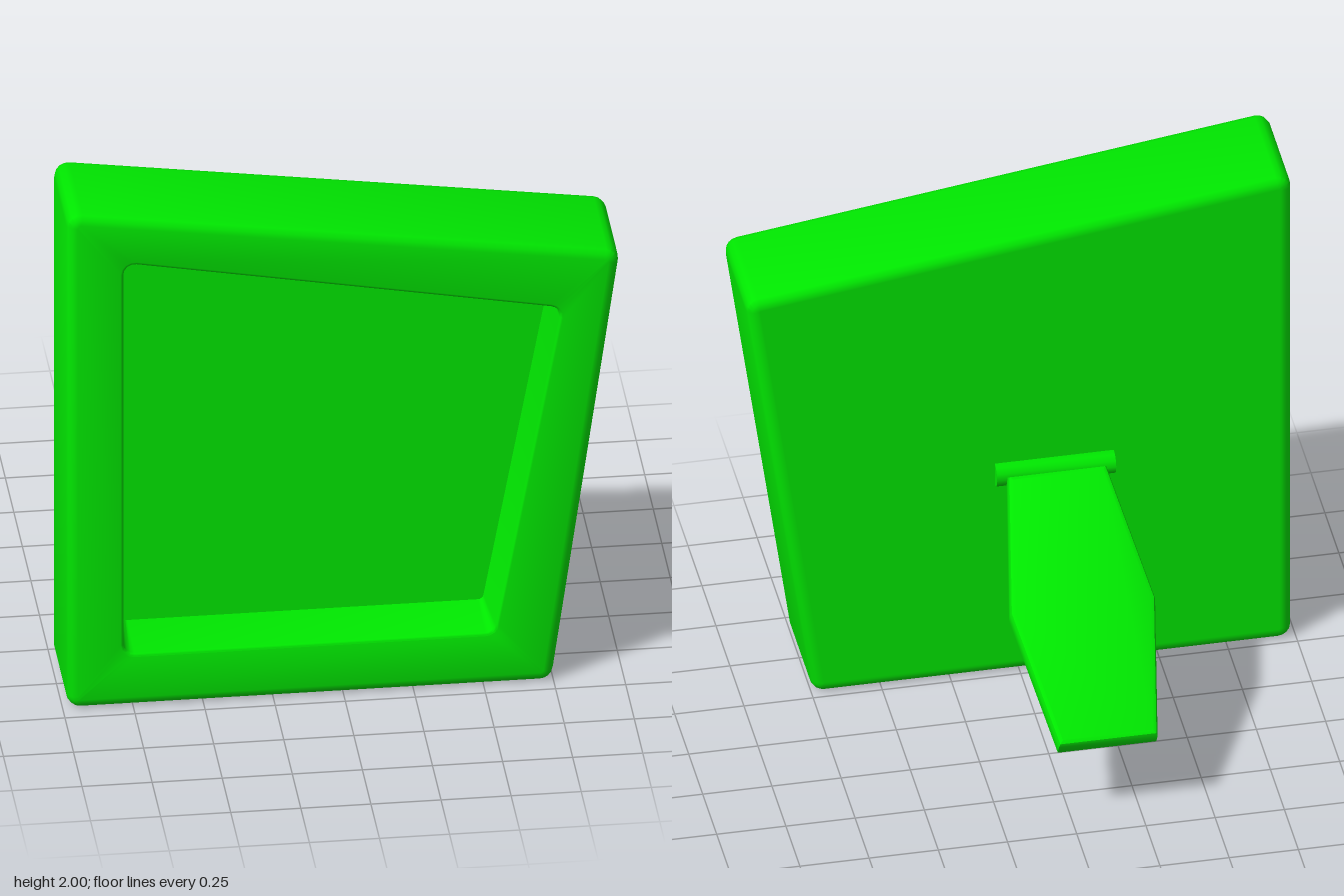
import * as THREE from 'three';
import { toCreasedNormals } from 'three/addons/utils/BufferGeometryUtils.js';

const green = new THREE.MeshStandardMaterial({ color: 0x00e800 });

// Corners run counter-clockwise as seen from the front
const OUTER = [[-0.985, 0], [0.745, 0], [0.99, 1.728], [-0.985, 2.007]];
const INNER = [[-0.795, 0.2], [0.547, 0.2], [0.792, 1.522], [-0.795, 1.812]];
const ROUND = 0.05;
const ARC = 4;

// Rounded outline of a convex polygon, shrunk by `inset`, at depth z
function outline(corners, inset, z) {
  const points = [];
  const n = corners.length;
  for (let i = 0; i < n; i++) {
    const p = new THREE.Vector2(...corners[i]);
    const before = p.clone().sub(new THREE.Vector2(...corners[(i + n - 1) % n])).normalize();
    const after = new THREE.Vector2(...corners[(i + 1) % n]).sub(p).normalize();
    const turn = Math.acos(before.dot(after));
    const start = Math.atan2(-before.x, before.y);
    // Centre of the corner arc, on the bisector of the corner
    const inward = after.clone().sub(before).normalize();
    const centre = p.addScaledVector(inward, ROUND / Math.cos(turn / 2));
    for (let k = 0; k <= ARC; k++) {
      const a = start + turn * k / ARC;
      points.push([
        centre.x + (ROUND - inset) * Math.cos(a),
        centre.y + (ROUND - inset) * Math.sin(a),
        z,
      ]);
    }
  }
  return points;
}

// Skin through rings, closed by a fan at both ends
function loft(rings) {
  const n = rings[0].length;
  const positions = rings.flat(2);
  const index = [];
  for (let r = 0; r < rings.length - 1; r++) {
    for (let j = 0; j < n; j++) {
      const a = r * n + j, b = r * n + (j + 1) % n;
      index.push(a, b, b + n, a, b + n, a + n);
    }
  }
  const last = (rings.length - 1) * n;
  for (let j = 1; j < n - 1; j++) {
    index.push(0, j + 1, j);
    index.push(last, last + j, last + j + 1);
  }
  const geometry = new THREE.BufferGeometry();
  geometry.setAttribute('position', new THREE.Float32BufferAttribute(positions, 3));
  geometry.setIndex(index);
  return toCreasedNormals(geometry, 0.6);
}

function createFrame() {
  const back = 0.27, front = 0.697, floor = 0.48;
  const bevel = 0.038, lip = 0.012;
  const steps = [0, 1, 2, 3].map((k) => k * Math.PI / 6);
  const rings = [
    // Flat back with a narrow border that keeps its shading even
    outline(OUTER, bevel + 0.008, back),
    // Rounded back and front edges
    ...steps.map((a) => outline(OUTER, bevel * (1 - Math.sin(a)), back + bevel * (1 - Math.cos(a)))),
    ...steps.map((a) => outline(OUTER, bevel * (1 - Math.cos(a)), front - bevel * (1 - Math.sin(a)))),
    // Rounded lip of the opening, then the tapered wall down to the recessed panel
    ...steps.map((a) => outline(INNER, lip * Math.sin(a), front - lip * (1 - Math.cos(a)))),
    outline(INNER, lip + 0.018, floor),
  ];
  const frame = new THREE.Mesh(loft(rings), green);
  frame.name = 'frame';
  return frame;
}

function createStand() {
  const stand = new THREE.Group();
  stand.name = 'stand';
  stand.position.set(-0.125, 0.865, 0.27);

  // Hinge barrel half sunk into the back
  const barrel = toCreasedNormals(new THREE.CylinderGeometry(0.045, 0.045, 0.43, 12), 0.6);
  const hinge = new THREE.Mesh(barrel.rotateZ(Math.PI / 2), green);
  hinge.name = 'hinge';

  // Six-sided leg, widest halfway down
  const bevel = 0.018, length = 1.062, thickness = 0.08, end = 0.178, middle = 0.262;
  const shape = new THREE.Shape([
    [-end, 0], [-middle, -length / 2], [-end, -length],
    [end, -length], [middle, -length / 2], [end, 0],
  ].map(([x, y]) => new THREE.Vector2(x, y)));
  const slab = new THREE.ExtrudeGeometry(shape, {
    depth: thickness - 2 * bevel, bevelEnabled: true,
    bevelSize: bevel, bevelOffset: -bevel, bevelThickness: bevel, bevelSegments: 2,
  });
  slab.translate(0, 0, bevel - thickness / 2);
  const leg = new THREE.Mesh(toCreasedNormals(slab, 0.5), green);
  leg.name = 'leg';
  leg.position.set(0, -0.008, -0.035);
  leg.rotation.x = Math.PI / 3;

  stand.add(hinge, leg);
  return stand;
}

export function createModel() {
  const model = new THREE.Group();
  model.name = 'pictureFrame';
  model.add(createFrame(), createStand());
  return model;
}
